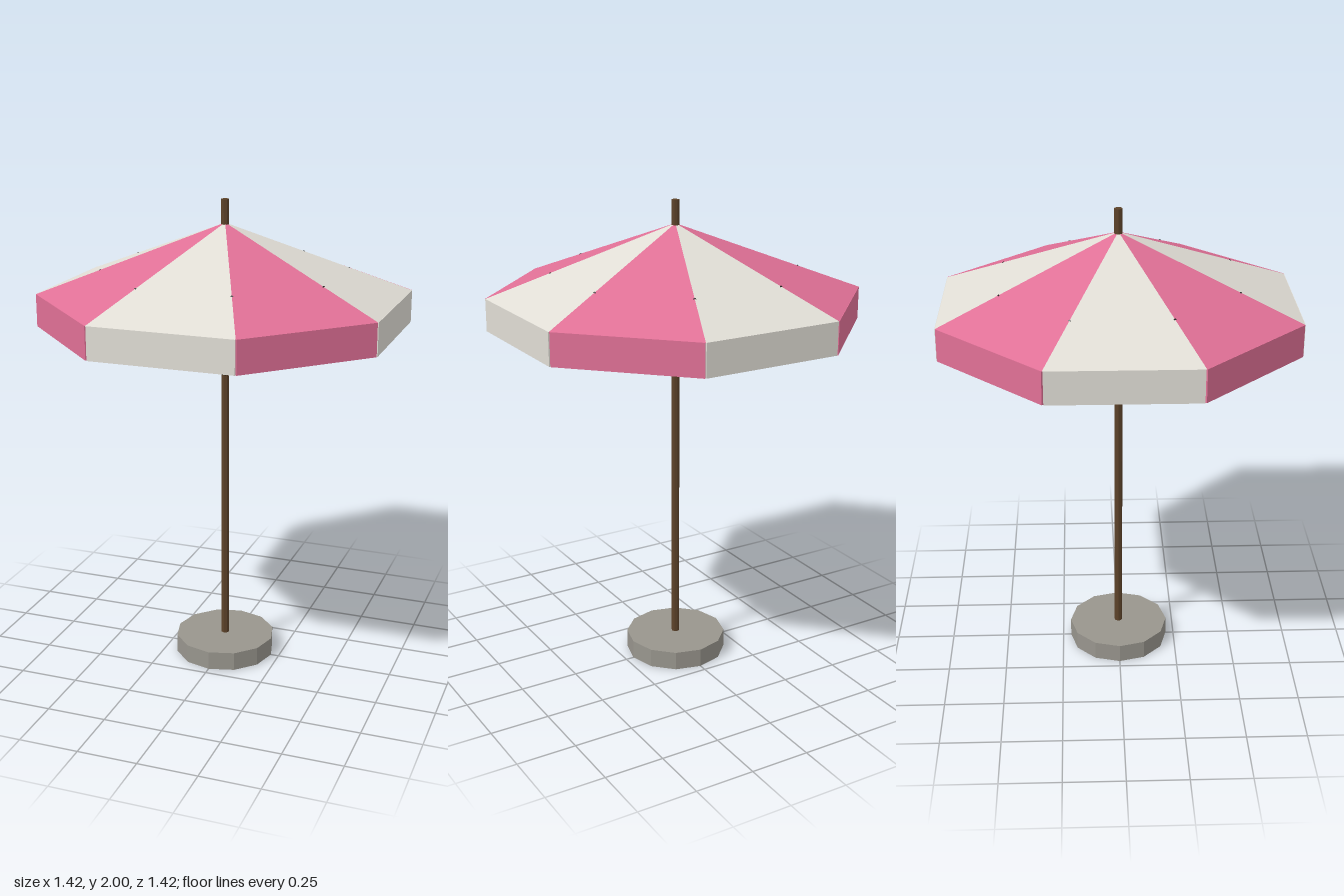
import * as THREE from 'three';

const mat = (name, color, extra = {}) => {
  const m = new THREE.MeshStandardMaterial({ color, ...extra });
  m.name = name;
  return m;
};

export function createModel() {
  const pink = mat('pink fabric', 0xe07096, { side: THREE.DoubleSide, flatShading: true });
  const cream = mat('cream fabric', 0xe0ddd5, { side: THREE.DoubleSide, flatShading: true });
  const wood = mat('brown wood', 0x5c4229, { flatShading: true });
  const stone = mat('grey stone', 0x98958d, { flatShading: true });
  const metal = mat('dark metal', 0x242622, { flatShading: true });

  const group = new THREE.Group();
  group.name = 'parasol';
  const add = (name, geometry, material) => {
    const mesh = new THREE.Mesh(geometry, material);
    mesh.name = name;
    group.add(mesh);
    return mesh;
  };

  // Foot and pole
  add('base', new THREE.CylinderGeometry(0.215, 0.215, 0.08, 12), stone).position.y = 0.04;
  add('pole', new THREE.CylinderGeometry(0.017, 0.017, 1.998, 8), wood).position.y = 1.001;

  // Canopy: eight panels, each with a hanging valance and a strut below its seam
  const radius = 0.769, apexY = 1.905, rimY = 1.62, hemY = 1.487;
  const half = Math.PI / 8;
  const inner = radius * Math.cos(half);
  const side = 2 * radius * Math.sin(half);
  const polar = (r, y, a) => new THREE.Vector3(r * Math.sin(a), y, r * Math.cos(a));
  const up = new THREE.Vector3(0, 1, 0);

  for (let i = 0; i < 8; i++) {
    const a = i * Math.PI / 4;
    const fabric = i % 2 ? pink : cream;

    const panel = new THREE.BufferGeometry().setFromPoints([
      polar(0, apexY, a), polar(radius, rimY, a - half), polar(radius, rimY, a + half),
    ]);
    panel.computeVertexNormals();
    add('canopyPanel', panel, fabric);

    const valance = add('valance', new THREE.BoxGeometry(side - 0.005, rimY - hemY, 0.008), fabric);
    valance.position.copy(polar(inner - 0.002, (rimY + hemY) / 2, a));
    valance.rotation.y = a;

    const start = polar(0.01, 1.272, a + half);
    const end = polar(0.51, 1.716, a + half);
    const dir = end.clone().sub(start);
    const strut = add('strut', new THREE.CylinderGeometry(0.006, 0.006, dir.length(), 6), metal);
    strut.position.copy(start).add(end).multiplyScalar(0.5);
    strut.quaternion.setFromUnitVectors(up, dir.normalize());
  }
  return group;
}
